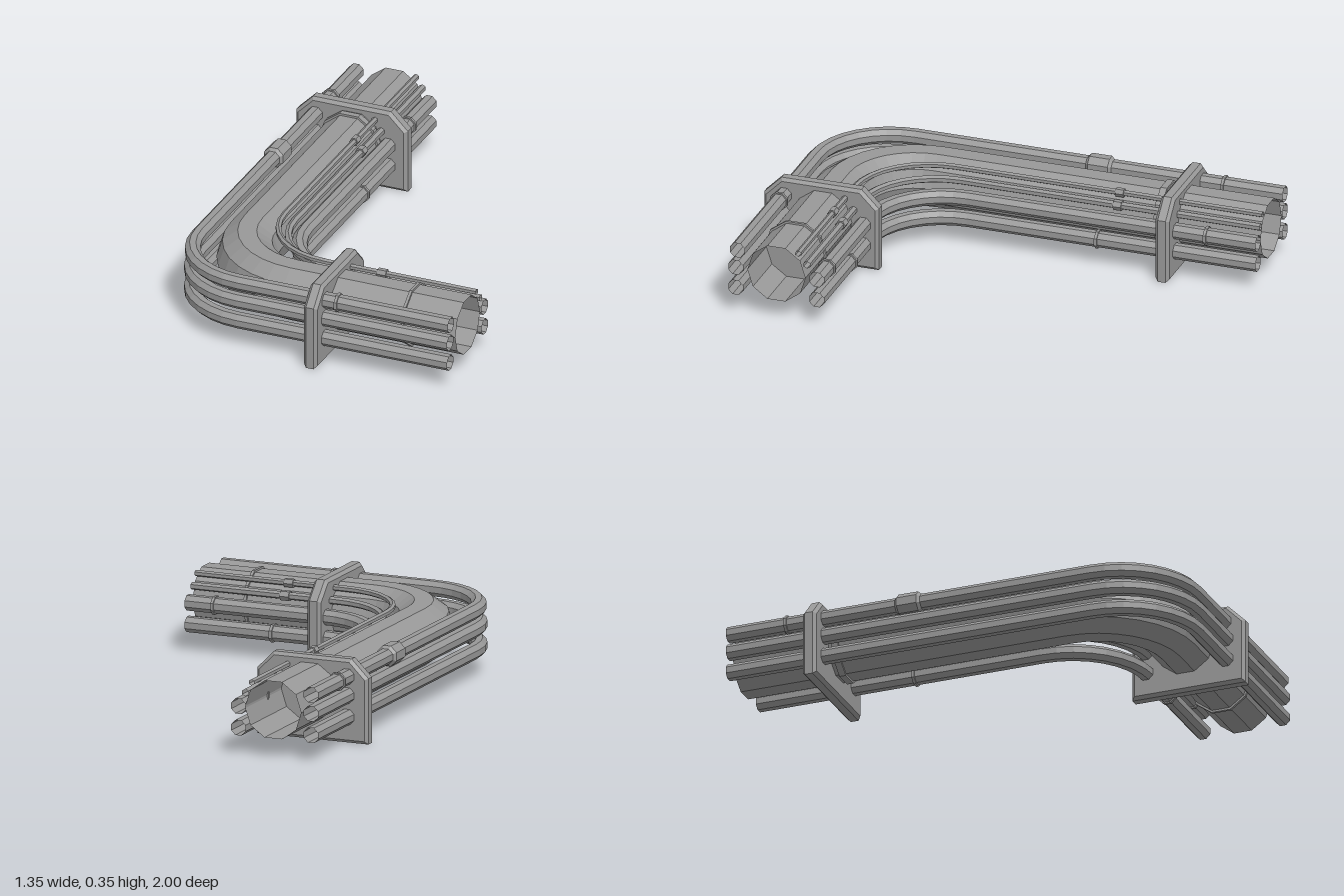
import * as THREE from 'three';

const X0 = -0.673, Z0 = 1, END_X = 0.673, END_Z = -1; // outer plate edges and open ends
const BEND = 0.32;
const mat = new THREE.MeshStandardMaterial({ color: 0x999999, flatShading: true, side: THREE.DoubleSide });

function add(group, name, geometry) {
  const mesh = new THREE.Mesh(geometry, mat);
  mesh.name = name;
  group.add(mesh);
  return mesh;
}

// Open pipe swept round the corner; backD and sideD are its distances in from
// the outer edge along the back leg and the side leg
function pipe(backD, sideD, y, radius, sides) {
  const steps = 8;
  const x = X0 + backD, z = Z0 - sideD, cx = x + BEND, cz = z - BEND;
  const stations = [[x, END_Z, 0]];
  for (let i = 0; i <= steps; i++) {
    const a = (i / steps) * Math.PI / 2;
    stations.push([cx - BEND * Math.cos(a), cz + BEND * Math.sin(a), a]);
  }
  stations.push([END_X, z, Math.PI / 2]);
  const pos = [], index = [];
  stations.forEach(([px, pz, a], i) => {
    for (let j = 0; j < sides; j++) {
      const t = (sides === 10 ? j : j + 0.5) / sides * Math.PI * 2;
      const out = radius * Math.cos(t);
      pos.push(px - out * Math.cos(a), y + radius * Math.sin(t), pz + out * Math.sin(a));
      if (i === stations.length - 1) continue;
      const k = i * sides, n = (j + 1) % sides;
      index.push(k + j, k + sides + j, k + n, k + n, k + sides + j, k + sides + n);
    }
  });
  const g = new THREE.BufferGeometry();
  g.setAttribute('position', new THREE.Float32BufferAttribute(pos, 3));
  g.setIndex(index);
  g.computeVertexNormals();
  return g;
}

// Sleeve round a pipe: leg 'z' is the long back leg, leg 'x' the side leg
function sleeve(group, name, leg, at, d, y, radius, length, sides = 8, bevel = 0) {
  const h = length / 2;
  const profile = bevel
    ? [[radius - bevel, -h], [radius, -h + bevel], [radius, h - bevel], [radius - bevel, h]]
    : [[radius, -h], [radius, h]];
  const points = [[0, -h], ...profile, [0, h]].map(p => new THREE.Vector2(...p));
  const g = new THREE.LatheGeometry(points, sides, Math.PI / sides).rotateX(Math.PI / 2);
  if (leg === 'x') g.rotateY(Math.PI / 2).translate(at, y, Z0 - d);
  else g.translate(X0 + d, y, at);
  add(group, name, g);
}

// Bracket plate with cut upper corners and bevelled rim
function plateGeometry() {
  const w = 0.495, h = 0.35, c = 0.075, b = 0.013, depth = 0.06;
  const shape = new THREE.Shape(
    [[0, 0], [w, 0], [w, h - c], [w - c, h], [c, h], [0, h - c]].map(p => new THREE.Vector2(...p)));
  return new THREE.ExtrudeGeometry(shape, {
    depth: depth - 2 * b, bevelEnabled: true, bevelSize: b, bevelThickness: b, bevelOffset: -b, bevelSegments: 1,
  }).translate(0, 0, b - depth / 2);
}

export function createModel() {
  const group = new THREE.Group();
  group.name = 'pipeCorner';

  // Main pipe and its bands
  const mainD = 0.258, midY = 0.2;
  add(group, 'mainPipe', pipe(mainD, mainD, midY, 0.125, 10));
  sleeve(group, 'mainBandBack', 'z', -0.552, mainD, midY, 0.134, 0.028, 10);
  sleeve(group, 'mainBandSide', 'x', 0.44, mainD, midY, 0.134, 0.012, 10);

  // Thin pipes: three outside the bend, two inside
  const outerD = 0.09, innerBackD = 0.413, innerSideD = 0.432;
  const high = 0.278, low = 0.11, thin = 0.034;
  add(group, 'outerPipe', pipe(outerD, outerD, high, thin, 8));
  for (const y of [midY, low]) {
    add(group, 'outerPipe', pipe(outerD, 0.082, y, thin, 8));
    add(group, 'innerPipe', pipe(innerBackD, innerSideD, y, thin, 8));
  }

  // Cables along the upper inside of the main pipe
  const cables = [[0.355, 0.353, 0.305, 0.013], [0.382, 0.39, 0.26, 0.016]];
  for (const [backD, sideD, y, r] of cables) {
    add(group, 'cable', pipe(backD, sideD, y, r, 6));
    sleeve(group, 'cableSleeveBack', 'z', -0.385, backD, y, r + 0.006, 0.035, 6);
    sleeve(group, 'cableSleeveSide', 'x', 0.255, sideD, y, r + 0.006, 0.04, 6);
  }

  // Coupling and thin rings on the thin pipes
  sleeve(group, 'coupling', 'z', -0.205, outerD, high, 0.046, 0.11, 8, 0.012);
  const rings = [
    ['z', -0.74, outerD, high], ['x', 0.175, outerD, high],
    ['z', -0.78, innerBackD, midY], ['z', -0.31, innerBackD, low],
    ['x', 0.29, innerSideD, low], ['x', 0.55, innerSideD, midY],
  ];
  for (const [leg, at, d, y] of rings) sleeve(group, 'ring', leg, at, d, y, 0.04, 0.012);

  // Support plates
  add(group, 'backPlate', plateGeometry()).position.set(X0, 0, -0.613);
  add(group, 'sidePlate', plateGeometry().rotateY(Math.PI / 2)).position.set(0.086, 0, Z0);

  return group;
}
